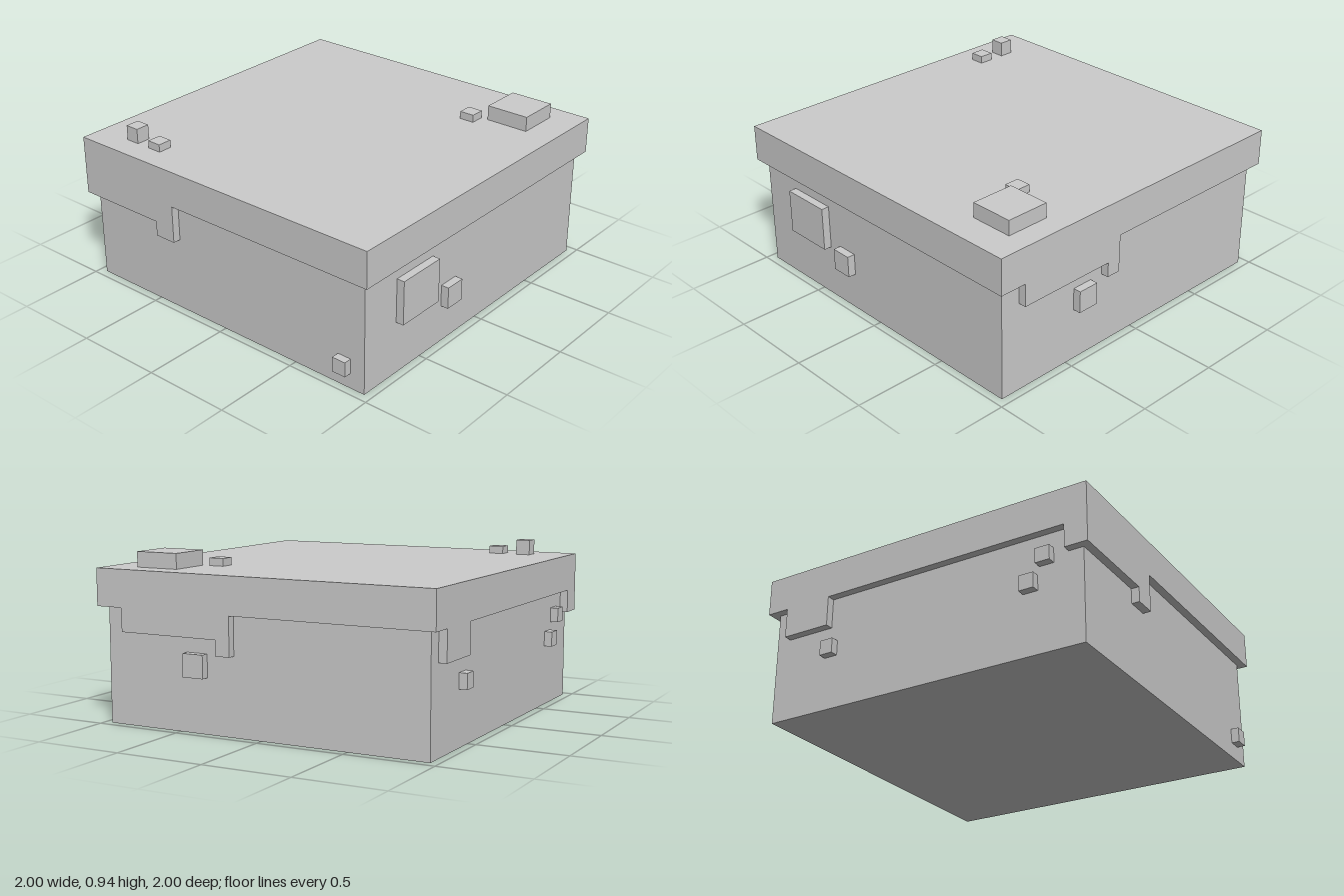
import * as THREE from 'three';

const SLAB_BOTTOM = 0.645, SLAB_TOP = 0.852, WALL = 0.955, EDGE = 1;

export function createModel() {
  const group = new THREE.Group();
  const material = new THREE.MeshStandardMaterial({ color: 0xcccccc, flatShading: true });

  // Box given by its extents on each axis
  const block = (name, [x0, x1], [y0, y1], [z0, z1]) => {
    const mesh = new THREE.Mesh(new THREE.BoxGeometry(x1 - x0, y1 - y0, z1 - z0), material);
    mesh.position.set((x0 + x1) / 2, (y0 + y1) / 2, (z0 + z1) / 2);
    mesh.name = name;
    group.add(mesh);
  };

  // Stepped strip hanging from the slab, extruded from its outline in x and y
  const overhang = (name, points, z) => {
    const shape = new THREE.Shape(points.map(([x, y]) => new THREE.Vector2(x, y)));
    const geometry = new THREE.ExtrudeGeometry(shape, { depth: EDGE - WALL, bevelEnabled: false });
    const mesh = new THREE.Mesh(geometry, material);
    mesh.position.z = z;
    mesh.name = name;
    group.add(mesh);
  };

  // Earth block and the wider layer on top
  block('body', [-WALL, WALL], [0, SLAB_BOTTOM], [-WALL, WALL]);
  block('topLayer', [-EDGE, EDGE], [SLAB_BOTTOM, SLAB_TOP], [-EDGE, EDGE]);

  // Hanging edges of the top layer
  overhang('frontOverhang', [
    [-1, SLAB_BOTTOM], [-1, 0.515], [-0.45, 0.515], [-0.45, 0.43], [-0.32, 0.43], [-0.32, SLAB_BOTTOM],
  ], WALL);
  overhang('backOverhang', [
    [0.16, SLAB_BOTTOM], [0.16, 0.43], [0.245, 0.43], [0.245, 0.515], [0.84, 0.515], [0.84, SLAB_BOTTOM],
  ], -EDGE);
  block('cornerOverhang', [-EDGE, -WALL], [0.515, SLAB_BOTTOM], [0.87, WALL]);
  block('sideOverhang', [-EDGE, -WALL], [0.475, SLAB_BOTTOM], [-0.87, -0.585]);

  // Stones on the top: x range, z range, height
  [
    [[0.57, 0.825], [-0.87, -0.62], 0.937],
    [[0.44, 0.528], [-0.62, -0.535], 0.895],
    [[-0.787, -0.705], [0.785, 0.867], 0.937],
    [[-0.62, -0.535], [0.785, 0.867], 0.895],
  ].forEach(([x, z, top], i) => block(`topStone${i + 1}`, x, [SLAB_TOP, top], z));

  // Stones on the left (+x) and right (-x) walls: side, y range, z range
  [
    [1, [0.303, 0.555], [0.408, 0.705]],
    [1, [0.218, 0.343], [0.2, 0.322]],
    [-1, [0.303, 0.388], [-0.62, -0.54]],
    [-1, [0.345, 0.43], [0.61, 0.695]],
    [-1, [0.475, 0.557], [0.705, 0.787]],
  ].forEach(([side, y, z], i) =>
    block(`sideStone${i + 1}`, side > 0 ? [WALL, EDGE] : [-EDGE, -WALL], y, z));

  // Stones on the front and back walls
  block('frontStone', [0.785, 0.867], [0.09, 0.175], [WALL, EDGE]);
  block('backStone', [0.325, 0.45], [0.303, 0.43], [-EDGE, -WALL]);

  return group;
}
